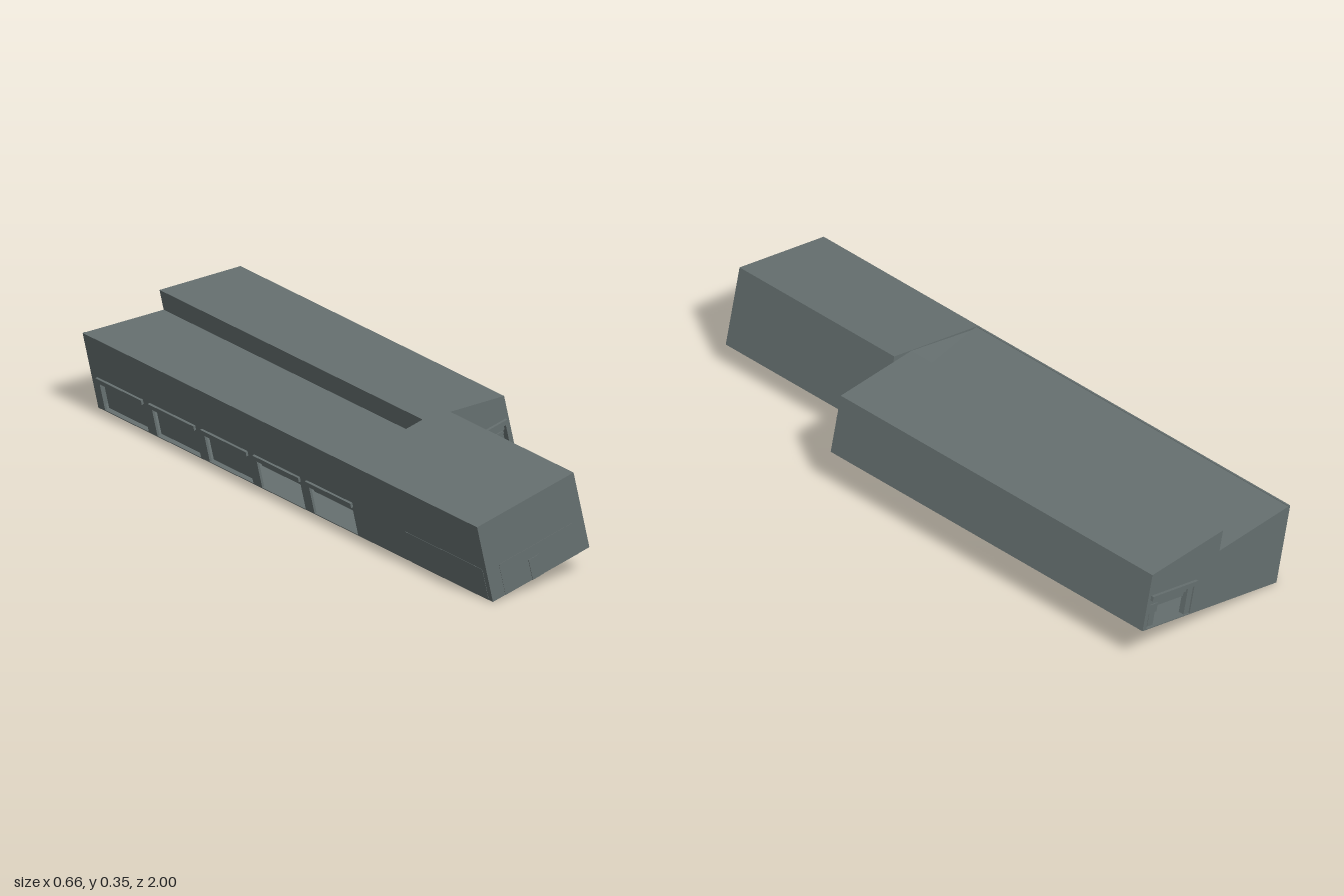
import * as THREE from 'three';

const concrete = new THREE.MeshStandardMaterial({ color: 0x667070 });
concrete.name = 'greyConcrete';

const W = 0.616, MID = 0.308, HIGH = 0.272, LOW = 0.198; // rear hall section
const BACK = -0.99, JOIN = 0.34, FRONT = 1;

function add(parent, name, geometry) {
  const mesh = new THREE.Mesh(geometry, concrete);
  mesh.name = name;
  parent.add(mesh);
  return mesh;
}

// Box given by its lower and upper limits
function box(parent, name, x0, x1, y0, y1, z0, z1) {
  const g = new THREE.BoxGeometry(x1 - x0, y1 - y0, z1 - z0);
  g.translate((x0 + x1) / 2, (y0 + y1) / 2, (z0 + z1) / 2);
  return add(parent, name, g);
}

function prism(points, depth, holes = []) {
  const toVec = (p) => new THREE.Vector2(p[0], p[1]);
  const shape = new THREE.Shape(points.map(toVec));
  for (const h of holes) shape.holes.push(new THREE.Path(h.map(toVec)));
  return new THREE.ExtrudeGeometry(shape, { depth, bevelEnabled: false });
}

const rect = (x0, x1, y0, y1) => [[x0, y0], [x1, y0], [x1, y1], [x0, y1]];

function buildHall(g) {
  // Sawtooth roof together with the low side wall
  const roof = prism([
    [0, HIGH], [MID, LOW], [MID, 0.27], [W, LOW], [W, 0], [W - 0.008, 0],
    [W - 0.008, 0.191], [0.316, 0.259], [0.316, 0.188], [0.3, 0.19], [0, 0.263],
  ], JOIN - BACK);
  roof.translate(0, 0, BACK);
  add(g, 'sawtoothRoof', roof);
  box(g, 'hallFloor', 0, W, 0, 0.003, BACK, JOIN);

  // End walls, each with a wide doorway, canopy, header and jambs
  const end = [
    [0, 0], [0.4, 0], [0.4, 0.105], [0.6, 0.105], [0.6, 0], [W, 0],
    [W, LOW], [MID, 0.27], [MID, LOW], [0, HIGH],
  ];
  for (const [z, out] of [[JOIN, 1], [BACK, -1]]) {
    const wall = prism(end, 0.008);
    wall.translate(0, 0, out > 0 ? z - 0.008 : z);
    add(g, 'endWall', wall);
    const span = (a, b) => [z + out * a, z + out * b].sort((p, q) => p - q);
    box(g, 'doorCanopy', 0.398, 0.604, 0.106, 0.122, ...span(-0.002, 0.01));
    box(g, 'doorHeader', 0.4, 0.6, 0.062, 0.08, ...span(-0.03, -0.02));
    box(g, 'doorTransom', 0.4, 0.6, 0.08, 0.106, ...span(-0.02, -0.012));
    box(g, 'doorJamb', 0.4, 0.423, 0, 0.106, ...span(-0.025, -0.005));
    box(g, 'doorPost', 0.56, 0.585, 0, 0.08, ...span(-0.03, -0.01));
    box(g, 'doorPostCap', 0.555, 0.59, 0.05, 0.08, ...span(-0.035, -0.008));
  }

  // Long wall with five loading bays
  const outline = [[BACK, 0]];
  for (let i = 0; i < 5; i++) {
    const c = -0.845 + i * 0.264, a = c - 0.11, b = c + 0.11;
    outline.push([a, 0], [a, 0.105], [b, 0.105], [b, 0]);
    box(g, 'bayCanopy', -0.008, 0.002, 0.106, 0.122, a - 0.005, b + 0.005);
    if (i < 3) box(g, 'bayShutter', 0.016, 0.022, 0, 0.106, a, b);
    else box(g, 'bayHeader', 0.016, 0.022, 0.075, 0.106, a, b);
  }
  outline.push([JOIN, 0], [JOIN, HIGH], [BACK, HIGH]);
  const side = prism(outline, 0.008);
  side.rotateY(-Math.PI / 2);
  side.translate(0.008, 0, 0);
  add(g, 'loadingWall', side);

  // Slim interior columns whose feet just pierce the floor
  for (const x of [0.22, 0.395]) {
    for (let i = 0; i < 6; i++) {
      const z = -0.8 + i * 0.2;
      box(g, 'column', x - 0.004, x + 0.004, -0.001, 0.19, z - 0.004, z + 0.004);
    }
  }

  // Drainage wedge in the roof valley against the front block
  const p = [
    [0.03, 0.265, JOIN], [MID, 0.198, 0.305], [MID, 0.27, JOIN], [MID, 0.198, JOIN],
  ];
  const wedge = new THREE.BufferGeometry();
  const faces = [0, 2, 1, 0, 3, 2, 1, 2, 3, 0, 1, 3];
  wedge.setAttribute('position', new THREE.Float32BufferAttribute(faces.flatMap((i) => p[i]), 3));
  wedge.computeVertexNormals();
  add(g, 'valleyWedge', wedge);
}

function buildFrontBlock(g) {
  const w = 0.387, split = 0.08;
  // Lower storey with an entry recess open underneath
  const lower = prism(rect(0, w, -FRONT, -JOIN), split, [rect(0.25, w - 0.003, -0.53, -0.44)]);
  lower.rotateX(-Math.PI / 2);
  add(g, 'frontBlockBase', lower);
  box(g, 'frontBlockTop', 0, w, split, HIGH, JOIN, FRONT);

  // Thin doors and panels
  box(g, 'frontPanel', 0.05, 0.345, 0, 0.111, FRONT - 0.004, FRONT + 0.001);
  box(g, 'frontDoor', 0.158, 0.192, 0, 0.072, FRONT - 0.004, FRONT + 0.003);
  box(g, 'frontDoorFrame', 0.192, 0.203, 0, 0.073, FRONT - 0.004, FRONT + 0.002);
  box(g, 'sidePanel', -0.001, 0.004, 0, 0.111, 0.59, 0.98);
}

export function createModel() {
  const model = new THREE.Group();
  model.name = 'warehouse';
  // The whole building leans sideways
  const building = new THREE.Group();
  building.name = 'building';
  building.rotation.z = Math.atan2(0.14, 0.6);
  building.position.set(-0.27, 0.001, 0);
  const hall = new THREE.Group();
  hall.name = 'rearHall';
  buildHall(hall);
  const block = new THREE.Group();
  block.name = 'frontBlock';
  buildFrontBlock(block);
  building.add(hall, block);
  model.add(building);
  return model;
}
